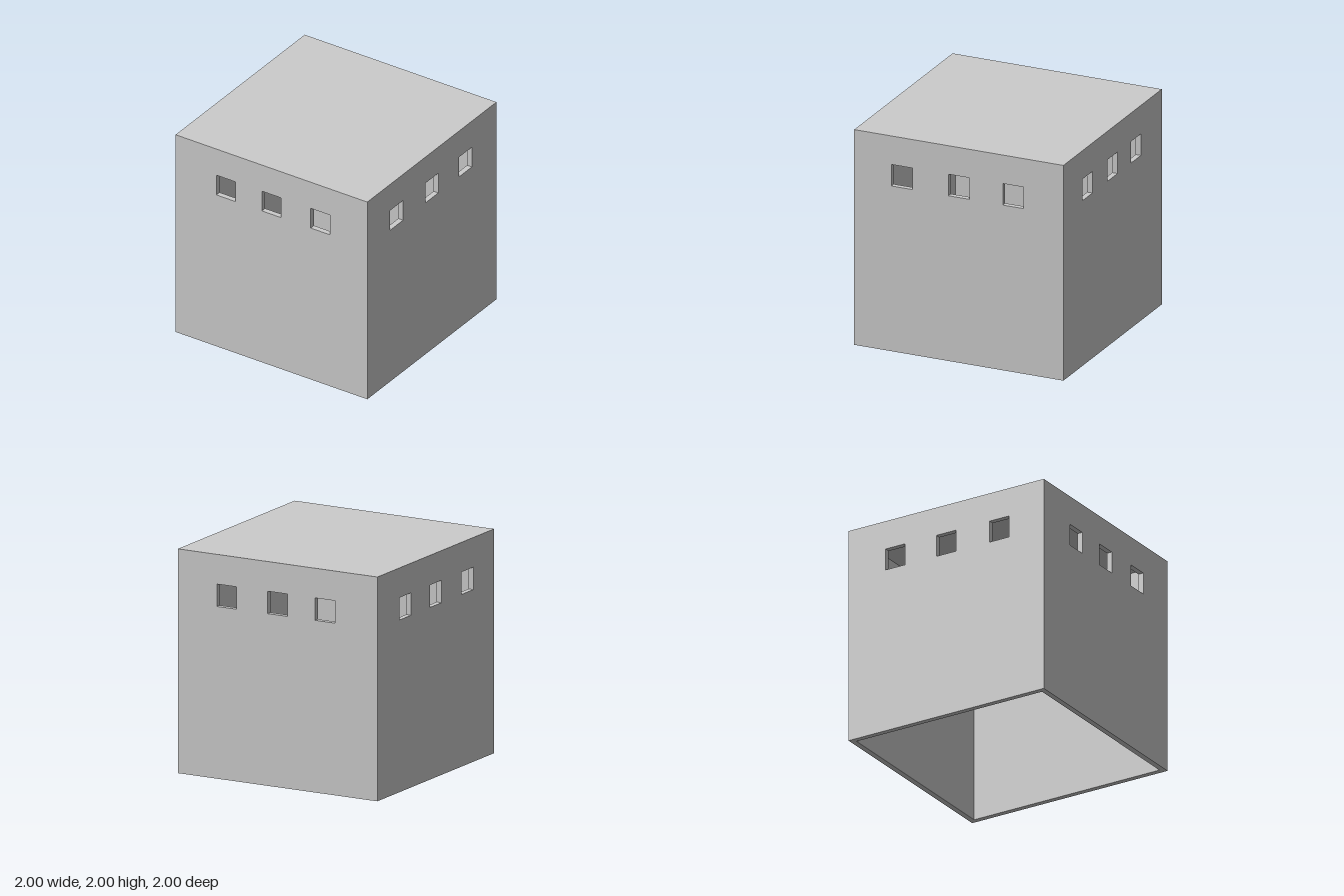
import * as THREE from 'three';

const T = 0.05; // wall thickness
const material = new THREE.MeshStandardMaterial({ color: 0xcccccc, flatShading: true });

// Square panel with its outer face at z = 1, mitred towards the inside.
function panel(name, bottom, top, windows = []) {
  const shape = new THREE.Shape([
    new THREE.Vector2(-1, bottom), new THREE.Vector2(1, bottom),
    new THREE.Vector2(1, top), new THREE.Vector2(-1, top),
  ]);
  for (const x of windows) {
    const [l, r, b, t] = [x - 0.1, x + 0.1, 1.535, 1.735];
    shape.holes.push(new THREE.Path([
      new THREE.Vector2(l, b), new THREE.Vector2(l, t),
      new THREE.Vector2(r, t), new THREE.Vector2(r, b),
    ]));
  }
  const geometry = new THREE.ExtrudeGeometry(shape, { depth: T, bevelEnabled: false });
  geometry.translate(0, 0, 1 - T);

  // Pull the inner rim in; an edge standing on the ground (y = 0) stays.
  const p = geometry.attributes.position;
  for (let i = 0; i < p.count; i++) {
    if (p.getZ(i) > 1 - T / 2) continue;
    const x = p.getX(i), y = p.getY(i);
    if (Math.abs(x) > 0.99) p.setX(i, x - Math.sign(x) * T);
    if (y > top - 0.01) p.setY(i, y - T);
    else if (bottom < 0 && y < bottom + 0.01) p.setY(i, y + T);
  }
  geometry.computeVertexNormals();
  const mesh = new THREE.Mesh(geometry, material);
  mesh.name = name;
  return mesh;
}

export function createModel() {
  const group = new THREE.Group();
  group.name = 'hollowBox';

  // Four walls with three square windows each, turned about the centre
  const walls = [
    ['frontWall', 0, [-0.475, 0, 0.51]],
    ['leftWall', Math.PI / 2, [-0.545, 0, 0.52]],
    ['backWall', Math.PI, [-0.51, 0, 0.475]],
    ['rightWall', -Math.PI / 2, [-0.52, 0, 0.545]],
  ];
  for (const [name, angle, windows] of walls) {
    const wall = panel(name, 0, 2, windows);
    wall.rotation.y = angle;
    group.add(wall);
  }

  // Closed roof; the underside of the box is open
  const roof = panel('roof', -1, 1);
  roof.rotation.x = -Math.PI / 2;
  roof.position.y = 1;
  group.add(roof);

  return group;
}
